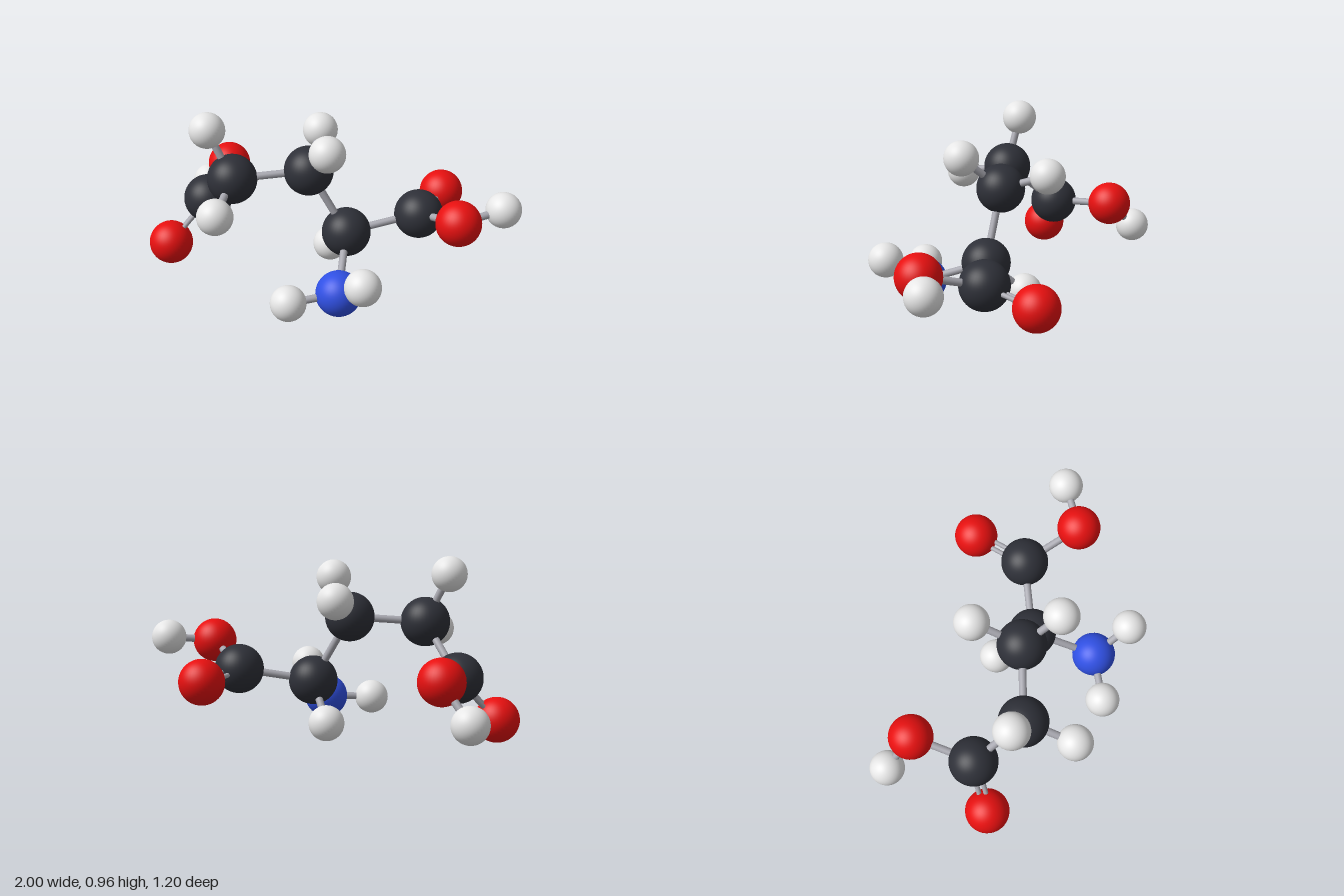
import * as THREE from 'three';

const mat = (name, color) => {
  const m = new THREE.MeshStandardMaterial({ color });
  m.name = name;
  return m;
};

export function createModel() {
  const group = new THREE.Group();
  group.name = 'molecule';

  const kinds = {
    carbon: { r: 0.131, m: mat('charcoal', 0x2e3038) },
    oxygen: { r: 0.119, m: mat('red', 0xea1010) },
    nitrogen: { r: 0.12, m: mat('blue', 0x3050e4) },
    hydrogen: { r: 0.094, m: mat('white', 0xe6e6e6) },
  };
  const bondMat = mat('bondGrey', 0xa8a8b0);

  // Atoms: kind and centre
  const atoms = {
    C1: ['carbon', -0.706, 0.356, 0.007],
    C2: ['carbon', -0.476, 0.611, 0.195],
    C3: ['carbon', -0.107, 0.639, 0.04],
    C4: ['carbon', 0.094, 0.289, 0.02],
    C5: ['carbon', 0.445, 0.358, -0.164],
    O1: ['oxygen', -0.716, 0.399, -0.341],
    O2: ['oxygen', -0.881, 0.123, 0.149],
    O3: ['oxygen', 0.502, 0.338, -0.481],
    O4: ['oxygen', 0.701, 0.467, 0.056],
    N: ['nitrogen', 0.156, 0.131, 0.368],
    H1: ['hydrogen', -0.881, 0.219, -0.424],
    H2: ['hydrogen', -0.606, 0.868, 0.186],
    H3: ['hydrogen', -0.463, 0.539, 0.473],
    H4: ['hydrogen', 0.043, 0.831, 0.194],
    H5: ['hydrogen', -0.127, 0.749, -0.227],
    H6: ['hydrogen', -0.045, 0.096, -0.14],
    H7: ['hydrogen', -0.071, 0.115, 0.506],
    H8: ['hydrogen', 0.322, 0.29, 0.506],
    H9: ['hydrogen', 0.904, 0.495, -0.099],
  };
  const pos = {};
  for (const [id, [kind, x, y, z]] of Object.entries(atoms)) {
    pos[id] = new THREE.Vector3(x, y, z);
    const ball = new THREE.Mesh(new THREE.SphereGeometry(kinds[kind].r, 40, 28), kinds[kind].m);
    ball.name = kind + 'Atom' + id;
    ball.position.copy(pos[id]);
    group.add(ball);
  }

  // Rod between two points
  const up = new THREE.Vector3(0, 1, 0);
  function rod(name, a, b, radius) {
    const dir = b.clone().sub(a);
    const mesh = new THREE.Mesh(new THREE.CylinderGeometry(radius, radius, dir.length(), 16, 1, true), bondMat);
    mesh.name = name;
    mesh.position.copy(a).add(b).multiplyScalar(0.5);
    mesh.quaternion.setFromUnitVectors(up, dir.normalize());
    group.add(mesh);
  }

  // Single bonds
  const singles = 'C1-C2 C2-C3 C3-C4 C4-C5 C1-O1 C5-O4 C4-N O1-H1 C2-H2 C2-H3 C3-H4 C3-H5 C4-H6 N-H7 N-H8 O4-H9';
  for (const pair of singles.split(' ')) {
    const [a, b] = pair.split('-');
    rod('bond' + a + b, pos[a], pos[b], 0.02);
  }

  // Double bonds: two thin rods side by side in the plane of the acid group
  for (const [c, o, other] of [['C1', 'O2', 'O1'], ['C5', 'O3', 'O4']]) {
    const dir = pos[o].clone().sub(pos[c]).normalize();
    const side = pos[other].clone().sub(pos[c]);
    side.addScaledVector(dir, -side.dot(dir)).normalize();
    for (const s of [-1, 1]) {
      const off = side.clone().multiplyScalar(s * 0.019);
      rod('doubleBond' + c + o, pos[c].clone().add(off), pos[o].clone().add(off), 0.013);
    }
  }
  return group;
}
